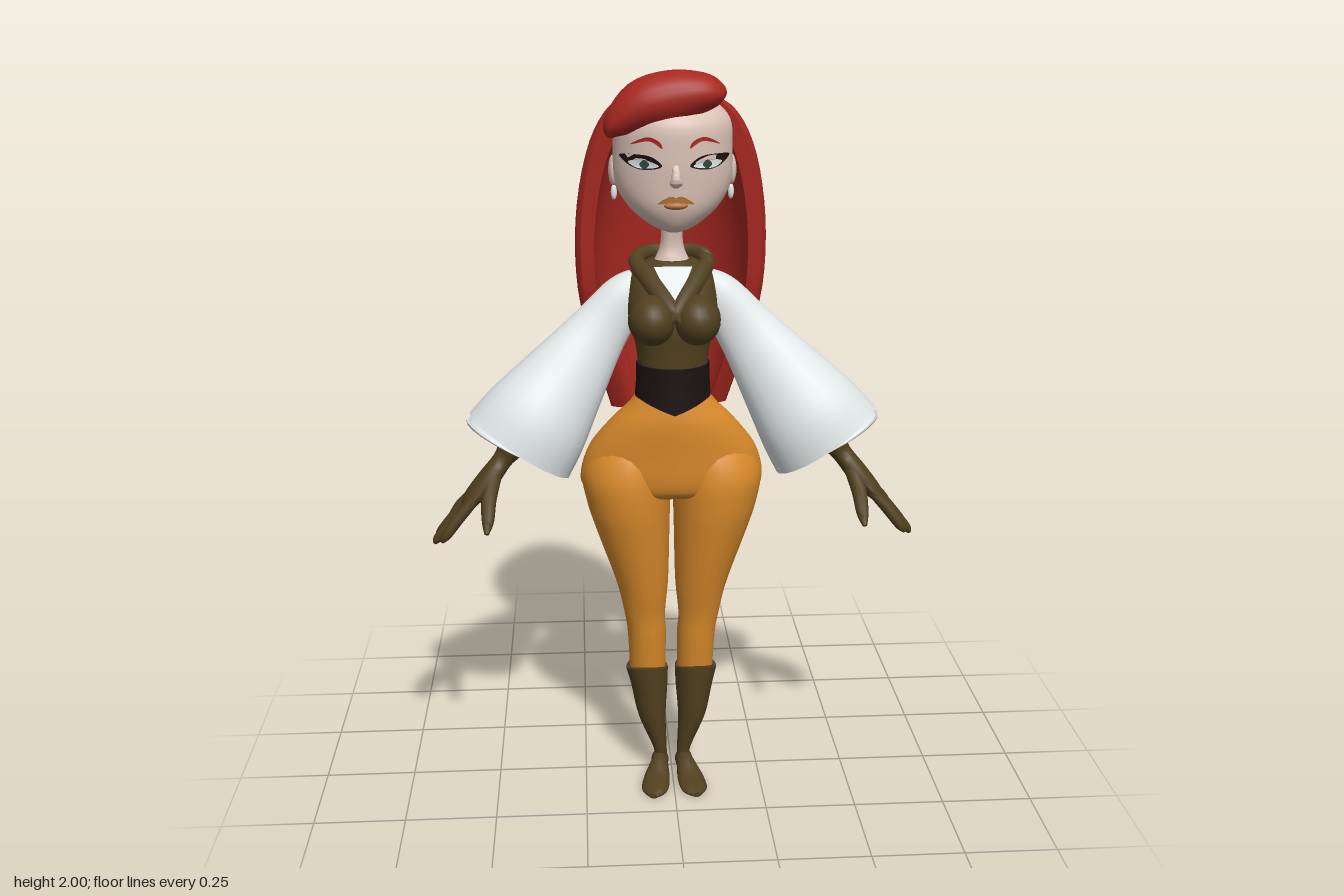
import * as THREE from 'three';
import { toCreasedNormals } from 'three/addons/utils/BufferGeometryUtils.js';

const V = (x, y, z) => new THREE.Vector3(x, y, z);
const mat = (color) => new THREE.MeshStandardMaterial({ color, side: THREE.DoubleSide });

// Smoothly resample rows of numbers (Catmull-Rom through every column)
function resample(rows, steps) {
  const out = [], n = rows.length - 1;
  for (let k = 0; k <= steps; k++) {
    const f = (k / steps) * n, i = Math.min(Math.floor(f), n - 1), t = f - i;
    const a = rows[Math.max(i - 1, 0)], b = rows[i], c = rows[i + 1], d = rows[Math.min(i + 2, n)];
    out.push(b.map((p, j) => p + 0.5 * t * (c[j] - a[j] + t * (2 * a[j] - 5 * p + 4 * c[j] - d[j] + t * (3 * (p - c[j]) + d[j] - a[j])))));
  }
  return out;
}

// Skin a stack of closed rings and cap both ends
function skin(rings, crease = 0.9) {
  const n = rings[0].length, m = rings.length, pos = [], idx = [];
  rings.forEach((r) => r.forEach((p) => pos.push(p.x, p.y, p.z)));
  for (let i = 0; i < m - 1; i++) for (let j = 0; j < n; j++) {
    const k = (j + 1) % n, a = i * n + j, b = i * n + k;
    idx.push(a, b, a + n, b, b + n, a + n);
  }
  [0, m - 1].forEach((i, e) => {
    const c = rings[i].reduce((s, p) => s.add(p), V(0, 0, 0)).divideScalar(n);
    pos.push(c.x, c.y, c.z);
    for (let j = 0; j < n; j++) {
      const a = i * n + j, b = i * n + (j + 1) % n;
      idx.push(m * n + e, ...(e ? [a, b] : [b, a]));
    }
  });
  const g = new THREE.BufferGeometry();
  g.setAttribute('position', new THREE.Float32BufferAttribute(pos, 3));
  g.setIndex(idx);
  return toCreasedNormals(g, crease);
}

// Loft ellipses: rows are [x, y, z, radiusAcross, radiusDepth]
function loft(rows, { upright = false, steps = rows.length * 4, sides = 24, warp } = {}) {
  const s = resample(rows, steps);
  const at = (i) => V(...s[i].slice(0, 3));
  return skin(s.map((r, i) => {
    const t = at(Math.min(i + 1, steps)).sub(at(Math.max(i - 1, 0)));
    if (upright) t.set(0, Math.sign(t.y), 0);
    t.normalize();
    const b = Math.abs(t.z) > 0.9 ? V(0, 1, 0) : V(0, 0, 1);
    b.addScaledVector(t, -b.dot(t)).normalize();
    const a = b.clone().cross(t);
    return Array.from({ length: sides }, (_, j) => {
      const f = (j / sides) * Math.PI * 2;
      const p = at(i).addScaledVector(a, r[3] * Math.cos(f)).addScaledVector(b, r[4] * Math.sin(f));
      if (warp) warp(p, i / steps);
      return p;
    });
  }));
}

const HEAD = [[0, 1.598, 0.095, 0.02, 0.03], [0, 1.615, 0.09, 0.06, 0.062], [0, 1.66, 0.075, 0.115, 0.1],
  [0, 1.72, 0.06, 0.148, 0.123], [0, 1.8, 0.055, 0.152, 0.133], [0, 1.88, 0.05, 0.143, 0.13], [0, 1.935, 0.03, 0.08, 0.08]];
const headRows = resample(HEAD, 60);
function faceZ(x, y) {
  const r = headRows.reduce((p, q) => (Math.abs(q[1] - y) < Math.abs(p[1] - y) ? q : p));
  return r[2] + r[4] * Math.sqrt(Math.max(0.05, 1 - (x / r[3]) ** 2));
}

// Small flat patch laid onto the face
function facePatch(points, side, lift) {
  const curve = new THREE.CatmullRomCurve3(points.map(([x, y]) => V(x * side, y, 0)), true);
  const g = new THREE.ShapeGeometry(new THREE.Shape(curve.getPoints(24).map((p) => new THREE.Vector2(p.x, p.y))));
  const p = g.attributes.position;
  for (let i = 0; i < p.count; i++) p.setZ(i, faceZ(p.getX(i), p.getY(i)) + lift);
  g.computeVertexNormals();
  return g;
}

// Hair shell: [y, half width, front z, back z] from the parting to the hem
const HAIR = resample([[1.945, 0.004, 0.045, -0.13], [1.93, 0.08, 0.042, -0.155], [1.89, 0.15, 0.035, -0.18], [1.78, 0.205, 0.018, -0.205],
  [1.6, 0.235, 0, -0.232], [1.4, 0.23, -0.02, -0.25], [1.2, 0.185, -0.07, -0.24], [1.03, 0.145, -0.11, -0.218]], 30);
function strand(a0, a1, i) {
  const K = 7;
  return skin(HAIR.map(([y, w, zf, zb], k) => {
    const fade = Math.min(1, k / 8), ring = [];
    const put = (q, inner) => {
      const a = a0 + (a1 - a0) * q, bulge = inner ? -0.035 * fade : (0.016 * Math.sin(q * Math.PI) + (i % 2) * 0.006) * fade;
      const drop = (1.945 - y) / 0.915, hem = 0.05 * Math.abs(Math.cos(a0 / 2 + a1 / 2)) + 0.012 * Math.sin(i * 2.3);
      ring.push(V((w + Math.max(bulge, -w * 0.5)) * Math.cos(a), y + hem * drop ** 4 - (inner ? 0.025 * (1 - drop) : 0),
        zf + (zb - zf - bulge) * Math.sin(a)));
    };
    for (let j = 0; j < K; j++) put(1 - j / (K - 1), false);
    for (let j = 0; j < K; j++) put(j / (K - 1), true);
    return ring;
  }), 0.8);
}

export function createModel() {
  const model = new THREE.Group();
  const skinTone = mat(0xdcc3b8), red = mat(0xa82820), orange = mat(0xd98a2b), brown = mat(0x50401f);
  const black = mat(0x1c1112), white = mat(0xdfe4e4), lipTone = mat(0xb8743c), green = mat(0x2f4a3c);
  const add = (name, geometry, material) => {
    const m = new THREE.Mesh(geometry, material);
    m.name = name;
    model.add(m);
    return m;
  };
  const ball = (name, m, p, s) => {
    const b = add(name, new THREE.SphereGeometry(1, 24, 16), m);
    b.position.set(...p);
    b.scale.set(...s);
  };

  // Head, neck and face centre
  add('head', loft(HEAD, { upright: true, sides: 36 }), skinTone);
  add('neck', loft([[0, 1.46, 0.02, 0.075, 0.05], [0, 1.51, 0.01, 0.045, 0.04], [0, 1.56, 0.012, 0.029, 0.029], [0, 1.66, 0.03, 0.03, 0.03]], { upright: true }), skinTone);
  add('nose', loft([[0, 1.775, 0.182, 0.008, 0.006], [0, 1.745, 0.19, 0.012, 0.013], [0, 1.728, 0.188, 0.016, 0.012], [0, 1.718, 0.18, 0.006, 0.006]], { upright: true, sides: 12 }), skinTone);
  ball('lowerLip', lipTone, [0, 1.674, faceZ(0, 1.674) - 0.002], [0.03, 0.01, 0.014]);

  // Hair strands swept from the parting, plus the rolled fringe
  const count = 17;
  for (let i = 0; i < count; i++) {
    const step = Math.PI / count;
    add('hairStrand', strand(i * step - 0.02, (i + 1) * step + 0.02, i), red);
  }
  add('fringe', loft([[-0.158, 1.85, 0.1, 0.012, 0.025], [-0.145, 1.868, 0.11, 0.035, 0.055], [-0.08, 1.912, 0.115, 0.063, 0.073],
    [0, 1.932, 0.115, 0.066, 0.075], [0.07, 1.942, 0.113, 0.05, 0.07], [0.11, 1.938, 0.11, 0.03, 0.05], [0.123, 1.932, 0.108, 0.008, 0.015]]), red);

  // Torso, belt and hips
  add('vest', loft([[0, 1.2, 0.06, 0.093, 0.083], [0, 1.28, 0.058, 0.096, 0.09], [0, 1.37, 0.05, 0.118, 0.1],
    [0, 1.44, 0.03, 0.115, 0.085], [0, 1.485, 0.015, 0.1, 0.065], [0, 1.51, 0.005, 0.06, 0.045]], { upright: true }), brown);
  add('belt', loft([[0, 1.155, 0.06, 0.101, 0.092], [0, 1.2, 0.06, 0.098, 0.09], [0, 1.245, 0.06, 0.097, 0.09]], {
    upright: true, sides: 32,
    warp: (p, t) => { if (p.z > 0.06) p.y -= 0.035 * (1 - t) * Math.max(0, 1 - Math.abs(p.x) / 0.09); },
  }), black);
  add('hips', loft([[0, 1.17, 0.06, 0.088, 0.08], [0, 1.13, 0.057, 0.12, 0.092], [0, 1.08, 0.045, 0.168, 0.108], [0, 1.0, 0.018, 0.226, 0.128],
    [0, 0.92, 0.008, 0.249, 0.13], [0, 0.88, 0.008, 0.235, 0.11], [0, 0.86, 0.01, 0.16, 0.06]], { upright: true, sides: 36 }), orange);
  const shirt = new THREE.BufferGeometry().setFromPoints([V(-0.05, 1.5, 0.07), V(0, 1.405, 0.155), V(0.05, 1.5, 0.07)]);
  shirt.computeVertexNormals();
  add('shirtNeckline', shirt, white);

  for (const s of [1, -1]) {
    const side = s > 0 ? 'left' : 'right';
    const limb = (name, rows, m, opts) => add(side + name, loft(rows.map(([x, ...r]) => [x * s, ...r]), opts), m);

    // Face details
    add(side + 'EyeLash', facePatch([[0.034, 1.772], [0.06, 1.794], [0.1, 1.799], [0.138, 1.794], [0.115, 1.772], [0.08, 1.762]], s, 0.003), black);
    add(side + 'Eye', facePatch([[0.042, 1.772], [0.065, 1.784], [0.1, 1.786], [0.117, 1.78], [0.1, 1.768], [0.07, 1.766]], s, 0.005), white);
    add(side + 'Iris', facePatch([[0.066, 1.776], [0.078, 1.787], [0.09, 1.776], [0.078, 1.765]], s, 0.007), green);
    add(side + 'Brow', facePatch([[0.034, 1.815], [0.065, 1.832], [0.112, 1.822], [0.07, 1.842], [0.04, 1.83]], s, 0.004), red);
    add(side + 'UpperLip', facePatch([[0, 1.684], [0, 1.694], [0.014, 1.698], [0.046, 1.678], [0.02, 1.681]], s, 0.007), lipTone);
    ball(side + 'Ear', skinTone, [s * 0.15, 1.745, 0.04], [0.014, 0.04, 0.025]);
    ball(side + 'Earring', white, [s * 0.15, 1.69, 0.045], [0.008, 0.02, 0.008]);

    // Bust and folded collar
    ball(side + 'Bust', brown, [s * 0.058, 1.372, 0.125], [0.062, 0.066, 0.077]);
    limb('Collar', [[0, 1.515, -0.05, 0.02, 0.01], [0.06, 1.52, -0.035, 0.02, 0.014], [0.092, 1.505, 0.01, 0.022, 0.016],
      [0.06, 1.465, 0.085, 0.024, 0.014], [0.012, 1.41, 0.155, 0.02, 0.012], [-0.012, 1.375, 0.172, 0.006, 0.006]], brown, { sides: 10 });

    // Flared sleeve, folding back inside at the cuff
    limb('Sleeve', [[0.085, 1.45, 0.005, 0.04, 0.035], [0.125, 1.41, 0.01, 0.062, 0.048], [0.2, 1.315, 0.03, 0.082, 0.055],
      [0.29, 1.195, 0.06, 0.118, 0.09], [0.36, 1.1, 0.085, 0.146, 0.12], [0.408, 1.032, 0.092, 0.158, 0.127]], white);
    limb('SleeveLining', [[0.408, 1.032, 0.092, 0.157, 0.126], [0.4, 1.045, 0.091, 0.13, 0.1], [0.36, 1.1, 0.085, 0.05, 0.045]], white);

    // Glove with four fingers and a thumb
    limb('Glove', [[0.35, 1.12, 0.08, 0.03, 0.034], [0.425, 1.03, 0.083, 0.036, 0.042], [0.455, 0.99, 0.087, 0.027, 0.034],
      [0.495, 0.94, 0.1, 0.028, 0.056], [0.54, 0.89, 0.107, 0.022, 0.064], [0.56, 0.868, 0.107, 0.012, 0.05]], brown, { sides: 16 });
    [[0.047, 0.615, 0.785], [0.085, 0.638, 0.772], [0.127, 0.642, 0.77], [0.17, 0.618, 0.79]].forEach(([z, x, y]) => {
      const z0 = 0.107 + (z - 0.107) * 0.75;
      limb('Finger', [[0.53, 0.9, z0, 0.014, 0.016], [0.575, 0.85, (z + z0) / 2, 0.016, 0.016], [x - 0.012, y + 0.018, z, 0.013, 0.013], [x, y, z, 0.005, 0.006]], brown, { sides: 10 });
    });
    limb('Thumb', [[0.475, 0.955, 0.12, 0.018, 0.02], [0.49, 0.91, 0.17, 0.02, 0.02], [0.492, 0.865, 0.22, 0.016, 0.016], [0.495, 0.838, 0.245, 0.006, 0.006]], brown, { sides: 10 });

    // Leg and buttock
    limb('Leg', [[0.1, 1.06, -0.005, 0.04, 0.05], [0.112, 1.01, 0, 0.095, 0.115], [0.124, 0.93, 0.003, 0.122, 0.143], [0.119, 0.84, 0.008, 0.115, 0.136],
      [0.108, 0.76, 0.01, 0.102, 0.12], [0.083, 0.6, 0.01, 0.073, 0.085], [0.076, 0.5, 0.015, 0.057, 0.057], [0.07, 0.43, 0.002, 0.054, 0.062], [0.067, 0.28, -0.008, 0.05, 0.052]], orange, { upright: true });

    // Tall boot with a raised front peak, and the shoe
    limb('Boot', [[0.07, 0.32, -0.004, 0.06, 0.09], [0.064, 0.27, 0.007, 0.052, 0.073], [0.057, 0.18, 0.021, 0.039, 0.047],
      [0.034, 0.07, 0.022, 0.019, 0.023], [0.034, 0.025, 0.02, 0.02, 0.022]], brown, {
      upright: true, warp: (p, t) => { p.y += (p.z > 0 ? 0.4 : 0.1) * p.z * Math.max(0, 1 - t * 4); },
    });
    limb('Foot', [[0.032, 0.025, -0.004, 0.01, 0.015], [0.034, 0.028, 0.012, 0.024, 0.03], [0.037, 0.032, 0.045, 0.025, 0.032], [0.048, 0.016, 0.1, 0.037, 0.022],
      [0.057, 0.01, 0.155, 0.036, 0.014], [0.062, 0.008, 0.184, 0.012, 0.008]], brown, { warp: (p) => { p.y = Math.max(0, p.y); } });
  }
  return model;
}
